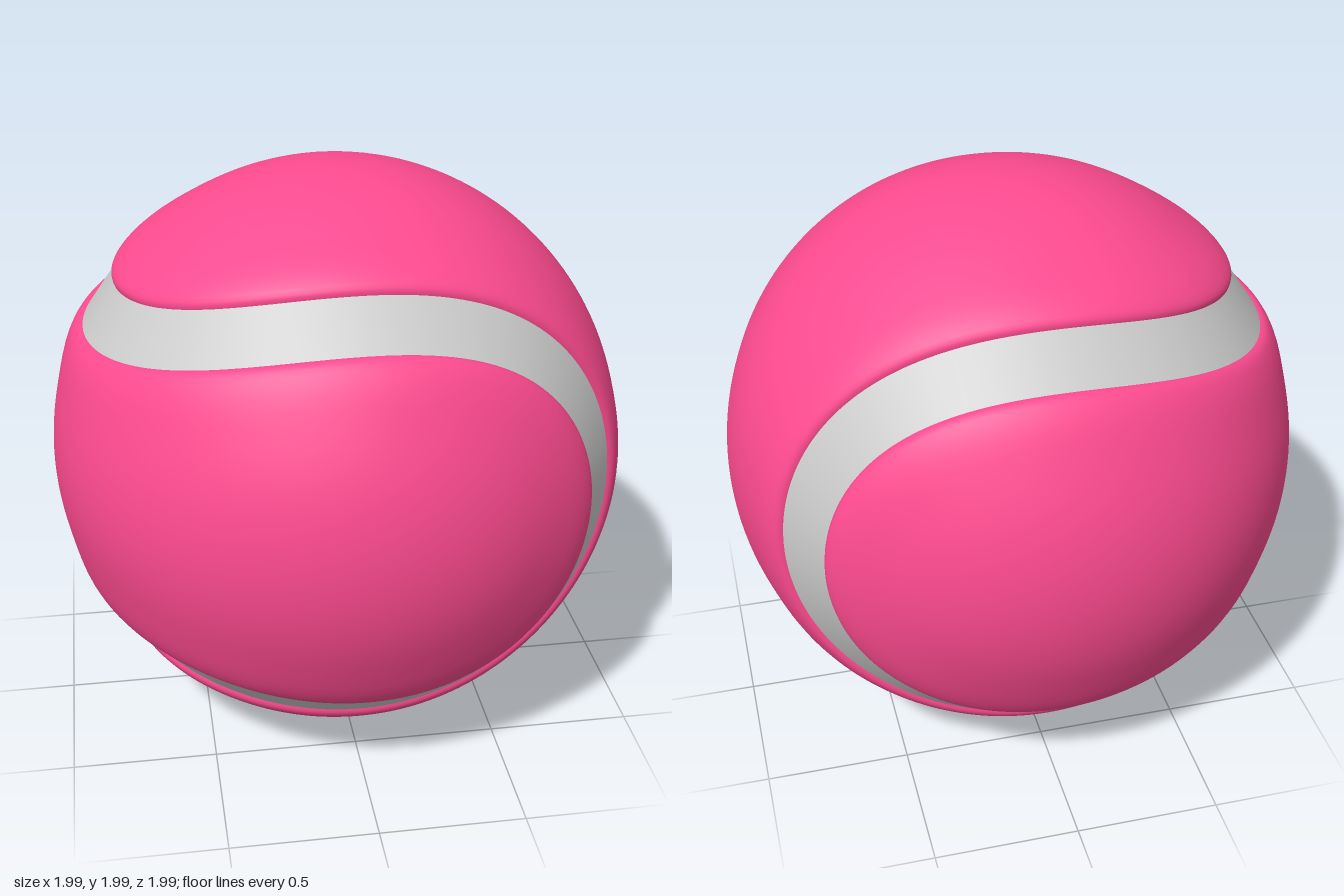
import * as THREE from 'three';
import { mergeVertices } from 'three/addons/utils/BufferGeometryUtils.js';

const N = 384;          // samples around the seam
const BEND = 0.558;     // how strongly the seam swings
const EDGE = 0.096;     // angle from seam centre to panel edge

// Furthest reach of the seam along x
function seamReach() {
  let lo = 0, hi = 1;
  for (let i = 0; i < 60; i++) {
    const m = (lo + hi) / 2;
    if (1 - m * m - BEND * m ** 3 > 0) lo = m; else hi = m;
  }
  return lo;
}

// Closed seam curve on the unit sphere, with the sideways direction at each point
function makeSeam() {
  const reach = seamReach();
  const points = [];
  for (let i = 0; i < N; i++) {
    const u = (i / N) * Math.PI * 4;
    const x = reach * Math.cos(u);
    const y = Math.sqrt(Math.max(0, (1 - x * x - BEND * x ** 3) / 2)) * Math.sign(Math.sin(u / 2));
    const z = Math.sqrt(Math.max(0, (1 - x * x + BEND * x ** 3) / 2)) * Math.sign(Math.cos(u / 2));
    points.push(new THREE.Vector3(x, y, z).normalize());
  }
  const sides = points.map((p, i) => {
    const t = points[(i + 1) % N].clone().sub(points[(i + N - 1) % N]);
    return p.clone().cross(t).normalize();
  });
  const offset = (i, d) => {
    const k = ((i % N) + N) % N;
    return points[k].clone().multiplyScalar(Math.cos(d)).addScaledVector(sides[k], Math.sin(d));
  };
  return { points, offset };
}

// Adds a rows x cols sheet of quads to a shared position/index list
function addSheet(out, rows, cols, pointAt) {
  const base = out.pos.length / 3;
  for (let i = 0; i <= rows; i++)
    for (let j = 0; j <= cols; j++) out.pos.push(...pointAt(i, j).toArray());
  for (let i = 0; i < rows; i++)
    for (let j = 0; j < cols; j++) {
      const a = base + i * (cols + 1) + j, b = a + cols + 1;
      out.idx.push(a, b, a + 1, b, b + 1, a + 1);
    }
}

function finish(out) {
  const g = new THREE.BufferGeometry();
  g.setAttribute('position', new THREE.Float32BufferAttribute(out.pos, 3));
  g.setIndex(out.idx);
  const merged = mergeVertices(g, 1e-5);
  merged.computeVertexNormals();
  return merged;
}

// Panel height: rounded edge, slightly raised rim, then the plain ball
function panelRadius(d) {
  return 0.996 + 0.013 * Math.exp(-(((d - 0.17) / 0.12) ** 2))
    - 0.03 * Math.exp(-(d - EDGE) / 0.012);
}

function slerp(a, b, t) {
  const w = a.angleTo(b);
  if (w < 1e-5) return a.clone();
  return a.clone().multiplyScalar(Math.sin((1 - t) * w) / Math.sin(w))
    .addScaledVector(b, Math.sin(t * w) / Math.sin(w));
}

function panelGeometry(seam) {
  const out = { pos: [], idx: [] };
  const steps = [EDGE, 0.099, 0.103, 0.109, 0.117, 0.13, 0.15, 0.18, 0.215, 0.255, 0.3];
  const inner = steps[steps.length - 1];
  // rounded rim following the seam
  addSheet(out, N, steps.length - 1, (i, j) =>
    seam.offset(i, steps[j]).multiplyScalar(panelRadius(steps[j])));
  // middle, spanned from one side of the rim to the other
  const cols = 24;
  addSheet(out, N / 2, cols, (i, j) => {
    if (j === 0 || j === cols)
      return seam.offset(j ? -i : i, inner).multiplyScalar(panelRadius(inner));
    const p = slerp(seam.offset(i, inner), seam.offset(-i, inner), j / cols);
    let best = -1;
    for (const q of seam.points) best = Math.max(best, p.dot(q));
    return p.multiplyScalar(panelRadius(Math.acos(Math.min(1, best))));
  });
  return finish(out);
}

// Flat recessed band between the panels
function bandGeometry(seam) {
  const out = { pos: [], idx: [] };
  const half = 0.102, cols = 4;
  addSheet(out, N, cols, (i, j) => {
    const d = -half + (2 * half * j) / cols;
    return seam.offset(i, d).multiplyScalar(0.98 / Math.cos(d));
  });
  return finish(out);
}

export function createModel() {
  const group = new THREE.Group();
  group.name = 'ball';
  const felt = new THREE.MeshStandardMaterial({ color: 0xff4b90 });
  const rubber = new THREE.MeshStandardMaterial({ color: 0xcccccc });
  const seam = makeSeam();
  const panel = panelGeometry(seam);

  // front, right and back panel
  const sidePanel = new THREE.Mesh(panel, felt);
  sidePanel.name = 'sidePanel';

  // the same panel turned half around: top, left and bottom
  const topPanel = new THREE.Mesh(panel, felt);
  topPanel.name = 'topPanel';
  topPanel.setRotationFromAxisAngle(new THREE.Vector3(0, 1, 1).normalize(), Math.PI);

  const band = new THREE.Mesh(bandGeometry(seam), rubber);
  band.name = 'seamBand';

  group.add(sidePanel, topPanel, band);
  group.children.forEach((m) => { m.position.y = 0.997; });
  return group;
}
